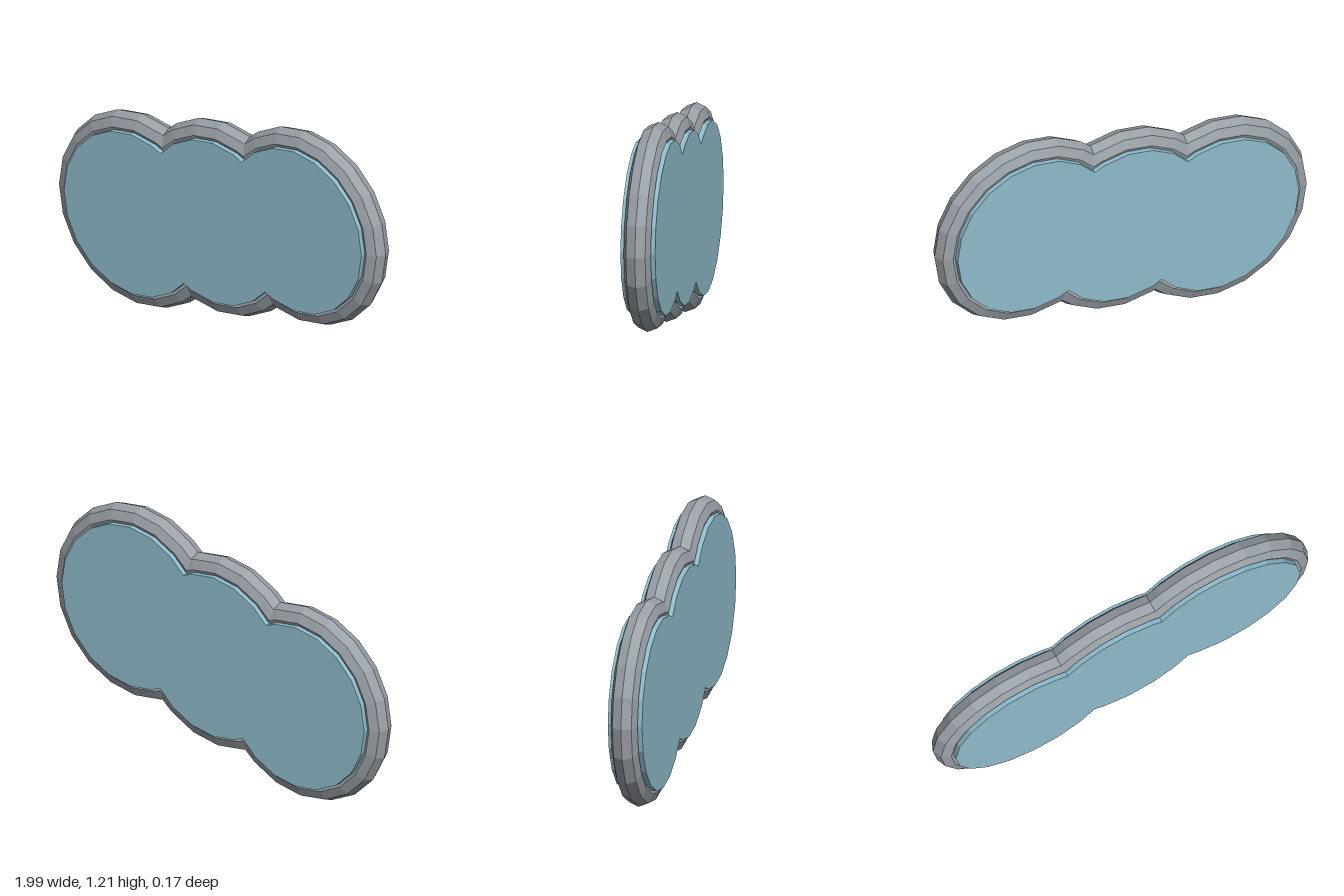
import * as THREE from 'three';

const STEP = Math.PI / 10;            // every circle has 20 sides
const RING = 0.43, TUBE = 0.065;      // rim centre line and thickness
const PANEL = 0.415, HALF_DEPTH = 0.083;
const DX = 0.5, DY = 0.11, MID_Y = 0.605;
const TILT = Math.atan2(DY, DX);
const HALF_GAP = Math.hypot(DX, DY) / 2;

// angle from the centre axis at which a circle of radius r meets its neighbour
const meet = (r) => Math.acos(HALF_GAP / r);

// rim arc between two steps, its ends mitred against the neighbouring rims
function rimArc(from, to, sweep) {
  const geo = new THREE.TorusGeometry(RING, TUBE, 8, to - from, (to - from) * STEP);
  const p = geo.attributes.position;
  for (let i = 0; i < p.count; i++) {
    const r = Math.hypot(p.getX(i), p.getY(i));
    const column = i % (to - from + 1);
    const a = THREE.MathUtils.clamp((from + column) * STEP, TILT + meet(r), TILT + sweep - meet(r));
    p.setXY(i, r * Math.cos(a), r * Math.sin(a));
  }
  geo.computeVertexNormals();
  return geo;
}

// panel outline points along one lobe, starting at its notch
function lobe(cx, cy, from, to, turn) {
  const at = (a, r) => new THREE.Vector2(cx + r * Math.cos(a + turn), cy + r * Math.sin(a + turn));
  const pts = [at(TILT + meet(PANEL), PANEL * 0.995)];
  for (let k = from; k <= to; k++) pts.push(at(k * STEP, PANEL));
  return pts;
}

export function createModel() {
  const model = new THREE.Group();
  const grey = new THREE.MeshStandardMaterial({ color: 0x9aa1a7, flatShading: true });
  grey.name = 'rim grey';
  const blue = new THREE.MeshStandardMaterial({ color: 0x8fbccb, flatShading: true });
  blue.name = 'panel blue';

  // rim: the end and middle arcs, each repeated by a half turn
  const rim = new THREE.Group();
  rim.name = 'rim';
  const endArc = rimArc(3, 19, Math.PI * 2);
  const middleArc = rimArc(3, 9, Math.PI);
  for (const side of [-1, 1]) {
    const turn = side < 0 ? 0 : Math.PI;
    const end = new THREE.Mesh(endArc, grey);
    end.name = side < 0 ? 'rightEndRim' : 'leftEndRim';
    end.position.set(side * DX, MID_Y + side * DY, 0);
    end.rotation.z = turn;
    const middle = new THREE.Mesh(middleArc, grey);
    middle.name = side < 0 ? 'upperMiddleRim' : 'lowerMiddleRim';
    middle.position.y = MID_Y;
    middle.rotation.z = turn;
    rim.add(end, middle);
  }
  model.add(rim);

  // panel: one three-lobed slab standing slightly proud of the rim
  const outline = [
    ...lobe(-DX, -DY, 4, 17, 0),
    ...lobe(0, 0, 4, 7, Math.PI),
    ...lobe(DX, DY, 4, 17, Math.PI),
    ...lobe(0, 0, 4, 7, 0),
  ];
  const slab = new THREE.ExtrudeGeometry(new THREE.Shape(outline), {
    depth: HALF_DEPTH * 2, bevelEnabled: false,
  });
  slab.translate(0, MID_Y, -HALF_DEPTH);
  const panel = new THREE.Mesh(slab, blue);
  panel.name = 'panel';
  model.add(panel);

  return model;
}
